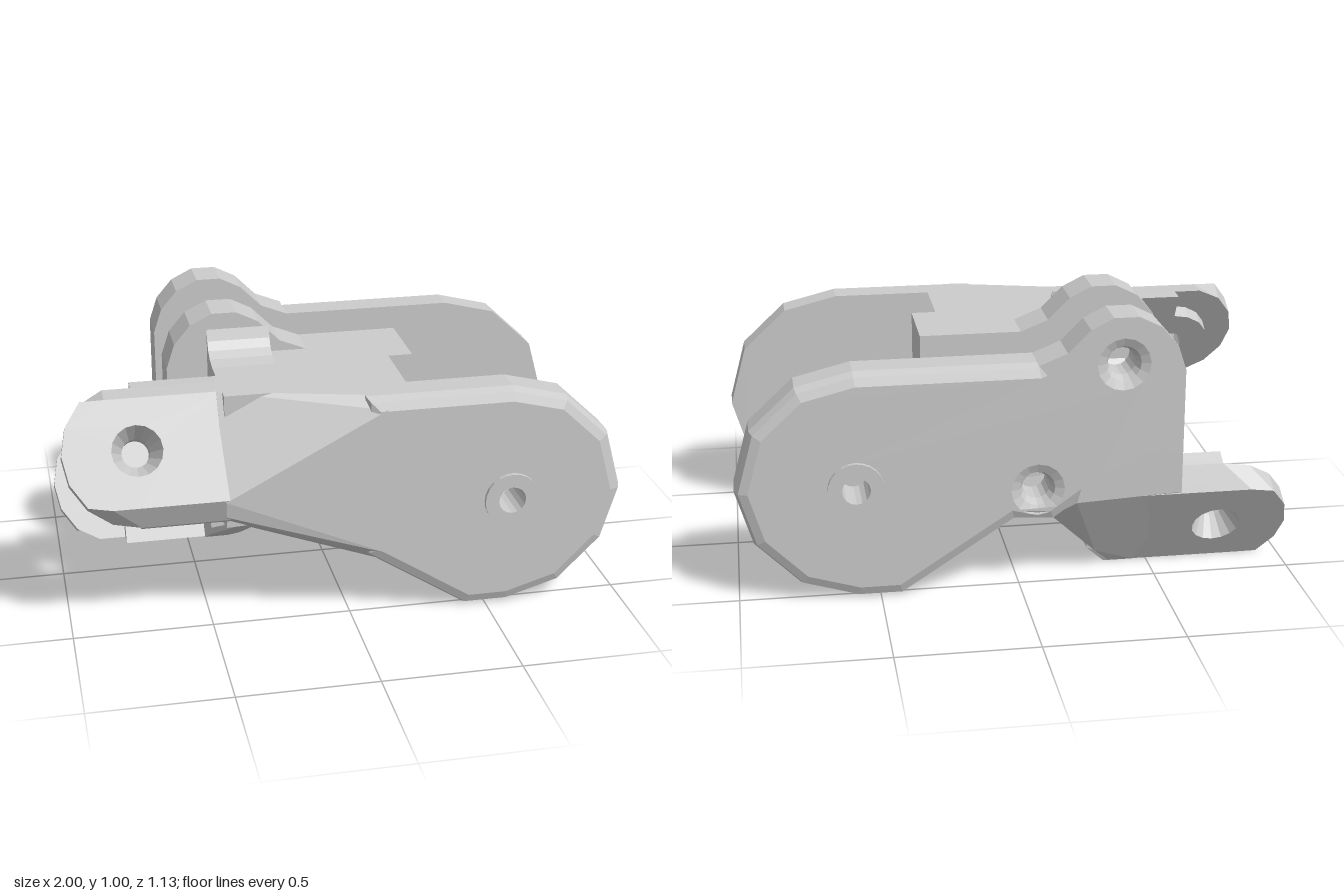
import * as THREE from 'three';
import { ConvexGeometry } from 'three/addons/geometries/ConvexGeometry.js';

const mat = new THREE.MeshStandardMaterial({ color: 0xcccccc, flatShading: true });
const thin = new THREE.MeshStandardMaterial({ color: 0xcccccc, flatShading: true, side: THREE.DoubleSide });
const BEVEL = 0.045, TILT = Math.PI / 6, MID = 0.42;

function part(parent, name, geometry, material = mat) {
  const mesh = new THREE.Mesh(geometry, material);
  mesh.name = name;
  parent.add(mesh);
  return mesh;
}

// Closed counter-clockwise outline with clockwise round holes given as [x, y, radius]
function outline(points, holes = []) {
  const pts = points.map(([x, y]) => new THREE.Vector2(x, y));
  if (THREE.ShapeUtils.isClockWise(pts)) pts.reverse();
  const shape = new THREE.Shape(pts);
  for (const [x, y, r] of holes) {
    const ring = [];
    for (let i = 0; i < 16; i++) {
      const a = -i * Math.PI / 8;
      ring.push(new THREE.Vector2(x + r * Math.cos(a), y + r * Math.sin(a)));
    }
    shape.holes.push(new THREE.Path(ring));
  }
  return shape;
}

function slab(shape, z0, z1) {
  return new THREE.ExtrudeGeometry(shape, { depth: z1 - z0, bevelEnabled: false }).translate(0, 0, z0);
}

function hull(points) {
  return new ConvexGeometry(points.map(p => new THREE.Vector3(...p)));
}

// Side plate: square inner edge, rounded outer edge and countersunk holes
function sidePlate(parent, name, points, holes) {
  const plate = new THREE.Group();
  plate.name = name;
  const shape = outline(points, holes);
  part(plate, name + 'Inner', slab(shape, 0.4, 0.505));
  part(plate, name + 'Outer', new THREE.ExtrudeGeometry(shape, {
    depth: 0.03, bevelSize: BEVEL, bevelThickness: BEVEL, bevelOffset: -BEVEL, bevelSegments: 2
  }).translate(0, 0, 0.475));
  parent.add(plate);
  return plate;
}

// Lug built square to the tilted cross axis, trimmed to the body's height and depth
function tiltedLug(name) {
  const lug = new THREE.Group();
  lug.name = name;
  const c = Math.cos(TILT), s = Math.sin(TILT);
  const layer = (radius, u0, u1, hole, square) => {
    const pts = [[-0.43, -0.26], [-0.43, 0.26], [-0.74, 0.26]];
    for (let i = square ? 0 : 1; i <= (square ? 8 : 7); i++) {
      const a = Math.PI / 2 + i * Math.PI / 8;
      pts.push([-0.74 + radius * Math.cos(a), radius * Math.sin(a)]);
    }
    pts.push([-0.74, -0.26]);
    const g = slab(outline(pts, [[-0.74, 0, hole]]), u0, u1);
    const p = g.attributes.position;
    for (let i = 0; i < p.count; i++) {
      const u = p.getZ(i);
      const top = (0.84 - MID - u * s) / c;
      const bottom = (u * c - 0.55) / s;
      p.setY(i, Math.max(bottom, Math.min(top, p.getY(i))));
    }
    g.rotateX(-TILT).translate(0, MID, 0);
    g.computeVertexNormals();
    return g;
  };
  part(lug, 'lugPlate', layer(0.26, 0.44, 0.52, 0.09, false));
  part(lug, 'lugBoss', layer(0.15, 0.385, 0.44, 0.05, true));
  // Countersink
  part(lug, 'lugCountersink', new THREE.CylinderGeometry(0.09, 0.05, 0.08, 16, 1, true)
    .rotateX(Math.PI / 2).translate(-0.74, 0, 0.48).rotateX(-TILT).translate(0, MID, 0), thin);
  return lug;
}

export function createModel() {
  const model = new THREE.Group();
  model.name = 'pivotBracket';

  const disc = [[0.58, 0.84], [0.78, 0.79], [0.94, 0.64], [1, 0.42], [0.94, 0.22],
    [0.78, 0.06], [0.58, 0], [0.42, 0]];
  const bump = [[-0.58, 0.8], [-0.55, 0.89], [-0.49, 0.96], [-0.41, 1], [-0.32, 1],
    [-0.24, 0.96], [-0.16, 0.88], [-0.06, 0.84]];
  const pivot = [0.58, 0.42, 0.05];

  // Side plates
  sidePlate(model, 'frontPlate', [[0.05, 0.84], ...disc, [0.05, 0.24]], [pivot]);
  const backPoints = [...bump, ...disc, [0.02, 0.26], [-0.12, 0.25], [-0.3, 0.38], [-0.5, 0.4], [-0.58, 0.5]];
  const flip = ([x, ...rest]) => [-x, ...rest];
  sidePlate(model, 'backPlate', backPoints.map(flip),
    [pivot, [-0.36, 0.83, 0.05], [-0.06, 0.38, 0.05]].map(flip)).rotation.y = Math.PI;
  // Square-edged ear on the back plate
  part(model, 'backEar', slab(outline([...bump, [-0.1, 0.79], [-0.2, 0.48], [-0.58, 0.48]],
    [[-0.36, 0.83, 0.095]]), -0.55, -0.4));

  // Pivot collars
  const ringPoints = [];
  for (let i = 0; i < 24; i++) {
    const a = i * Math.PI / 12;
    ringPoints.push([0.58 + 0.1 * Math.cos(a), 0.42 + 0.1 * Math.sin(a)]);
  }
  const collar = outline(ringPoints, [pivot]);
  part(model, 'frontCollar', slab(collar, 0.42, 0.565));
  part(model, 'backCollar', slab(collar, -0.565, -0.42));

  // Tilted lugs: the back one is the front one turned half round
  model.add(tiltedLug('frontLug'));
  const backLug = tiltedLug('backLug');
  backLug.rotation.x = Math.PI;
  backLug.position.y = 2 * MID;
  model.add(backLug);

  // Shoulders blending the tilted lugs into the upright plates
  part(model, 'frontShoulder', hull([
    [-0.45, 0.84, 0.36], [-0.22, 0.84, 0.41], [0.12, 0.84, 0.51], [0.12, 0.8, 0.55],
    [-0.45, 0.5, 0.55], [-0.33, 0.53, 0.55], [-0.45, 0.44, 0.54], [0.12, 0.25, 0.55],
    [0.12, 0.2, 0.5], [0.12, 0.2, 0.44], [0, 0.255, 0.4], [-0.43, 0.39, 0.46],
    [-0.43, 0.3, 0.27], [-0.06, 0.25, 0.27], [-0.43, 0.84, 0.2], [0.05, 0.84, 0.2],
    [-0.02, 0.34, 0.23], [0.12, 0.84, 0.44]]));
  part(model, 'backShoulder', hull([
    [-0.45, 0, -0.36], [-0.36, 0, -0.36], [-0.58, 0.34, -0.55], [-0.2, 0.32, -0.55],
    [-0.58, 0.49, -0.55], [-0.25, 0.5, -0.55], [-0.12, 0.25, -0.49], [-0.12, 0.24, -0.4],
    [-0.3, 0.06, -0.4], [-0.58, 0.49, -0.43], [-0.25, 0.5, -0.4]]));

  // Middle plate with the raised ear
  part(model, 'middlePlate', slab(outline([...bump, [0.31, 0.84], [0.31, 0.63], [0.23, 0.445],
    [-0.02, 0.26], [-0.43, 0.23], [-0.43, 0.58], [-0.5, 0.62], [-0.58, 0.7]]), -0.155, 0));
  // Hollow fillet from the ear down to the web
  part(model, 'earFillet', slab(outline([[0, 0.83], [0, 0.94], [-0.015, 0.9], [-0.035, 0.87],
    [-0.07, 0.85], [-0.13, 0.84], [-0.13, 0.83]]), -0.43, -0.2).rotateY(Math.PI / 2));

  // Central web with sloping underside and undercut right wall
  const section = [[0.84, 0.41], [0.335, 0.41], [0.335, 0.22], [0.23, -0.05], [0.23, -0.15], [0.84, -0.15]];
  part(model, 'centralWeb', hull([
    ...section.map(([y, z]) => [-0.43, y, z]), ...section.map(([y, z]) => [-0.01, y + (y < 0.5 ? 0.02 : 0), z]),
    [0.22, 0.84, 0.41], [0.22, 0.84, -0.15]]));
  part(model, 'webStep', slab(outline([[0, 0.84], [0.31, 0.84], [0.31, 0.63], [0.23, 0.445],
    [0.02, 0.29], [0, 0.29]]), -0.1, 0.135));

  // Heel under the web, beside the back lug
  part(model, 'heel', hull([
    [-0.43, 0.24, -0.05], [-0.43, 0.18, -0.015], [-0.43, 0.13, -0.015], [-0.43, 0.09, -0.04],
    [-0.43, 0, -0.2], [-0.34, 0, -0.2], [-0.3, 0.03, -0.155], [-0.43, 0.3, -0.155],
    [-0.03, 0.26, -0.155], [-0.03, 0.27, -0.06], [-0.14, 0.16, -0.03]]));

  // Bars bridging the slot between the middle and back plates
  part(model, 'leftBar', hull([
    [-0.43, 0, -0.2], [-0.43, 0, -0.36], [-0.34, 0, -0.2], [-0.34, 0, -0.36],
    [-0.27, 0.07, -0.15], [-0.27, 0.07, -0.39], [-0.27, 0.65, -0.15], [-0.27, 0.65, -0.42],
    [-0.31, 0.69, -0.15], [-0.31, 0.69, -0.42], [-0.45, 0.69, -0.15], [-0.45, 0.69, -0.42],
    [-0.43, 0.1, -0.14]]));
  part(model, 'rightBar', slab(outline([[0.05, 0.69], [0.25, 0.69], [0.25, 0.65], [0.16, 0.45], [0.05, 0.45]]),
    -0.42, -0.14));
  // Small fillets where the bars meet the plates
  for (const [x, w] of [[-0.36, 0.18], [0.15, 0.2]]) {
    for (const [z, d] of [[-0.4, 1], [-0.155, -1]]) {
      part(model, 'barFillet', hull([-1, 1].flatMap(k => [
        [x + k * w / 2, 0.72, z], [x + k * w / 2, 0.7, z + d * 0.01], [x + k * w / 2, 0.688, z + d * 0.03],
        [x + k * w / 2, 0.66, z]])));
    }
  }
  return model;
}
